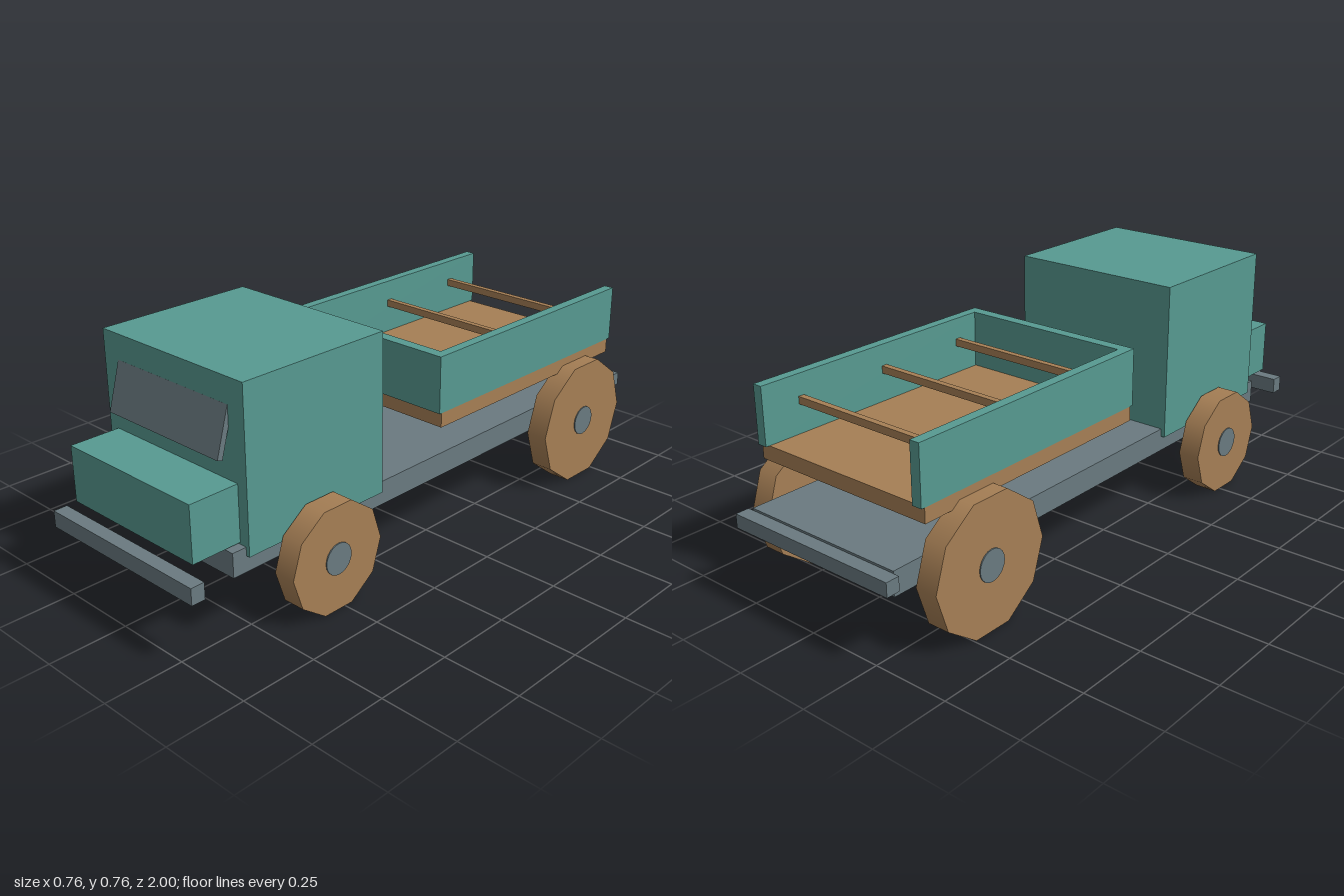
import * as THREE from 'three';

export function createModel() {
  const truck = new THREE.Group();
  truck.name = 'truck';

  const teal = new THREE.MeshStandardMaterial({ color: 0x579a91 });
  const wood = new THREE.MeshStandardMaterial({ color: 0xa67f55 });
  const steel = new THREE.MeshStandardMaterial({ color: 0x6a7a80 });

  // Box given by its extents along x, y and z
  function box(name, material, [x0, x1], [y0, y1], [z0, z1]) {
    const mesh = new THREE.Mesh(new THREE.BoxGeometry(x1 - x0, y1 - y0, z1 - z0), material);
    mesh.position.set((x0 + x1) / 2, (y0 + y1) / 2, (z0 + z1) / 2);
    mesh.name = name;
    truck.add(mesh);
    return mesh;
  }

  // Chassis and bumpers
  box('chassis', steel, [-0.285, 0.285], [0.2, 0.277], [-0.955, 0.835]);
  box('frontBumper', steel, [-0.31, 0.31], [0.2, 0.253], [0.955, 1]);
  box('rearBumper', steel, [-0.305, 0.305], [0.225, 0.27], [-1, -0.955]);

  // Cab, hood and sloping windshield
  box('cab', teal, [-0.298, 0.298], [0.25, 0.76], [0.26, 0.787]);
  box('hood', teal, [-0.262, 0.262], [0.283, 0.46], [0.787, 0.952]);
  const windshield = box('windshield', steel, [-0.235, 0.235], [0.527, 0.681], [0.791, 0.809]);
  windshield.rotation.x = -0.28;

  // Cargo bed: floor, boards on three sides, open at the back
  box('bedFloor', wood, [-0.324, 0.324], [0.392, 0.44], [-0.872, 0.025]);
  box('bedFrontBoard', teal, [-0.292, 0.292], [0.44, 0.625], [-0.002, 0.035]);
  for (const [side, s] of [['left', 1], ['right', -1]]) {
    const inner = 0.292 * s, outer = 0.325 * s;
    box(side + 'BedBoard', teal, [Math.min(inner, outer), Math.max(inner, outer)], [0.44, 0.625], [-0.885, 0.035]);
  }

  // Cross slats between the side boards
  for (const z of [-0.085, -0.415, -0.745]) {
    box('bedSlat', wood, [-0.292, 0.292], [0.532, 0.556], [z - 0.01, z + 0.01]);
  }

  // Ten-sided wheels resting on a flat, each with a round hub
  function wheel(name, x, z, radius) {
    const group = new THREE.Group();
    group.name = name;
    const tire = new THREE.Mesh(new THREE.CylinderGeometry(radius, radius, 0.073, 10), wood);
    tire.name = 'tire';
    const hub = new THREE.Mesh(new THREE.CylinderGeometry(0.05, 0.05, 0.08, 20), steel);
    hub.name = 'hub';
    group.add(tire, hub);
    group.rotation.z = Math.PI / 2;
    group.position.set(x, radius * Math.cos(Math.PI / 10), z);
    truck.add(group);
  }
  for (const [side, s] of [['Left', 1], ['Right', -1]]) {
    wheel('front' + side + 'Wheel', 0.338 * s, 0.525, 0.175);
    wheel('rear' + side + 'Wheel', 0.338 * s, -0.676, 0.217);
  }

  return truck;
}
